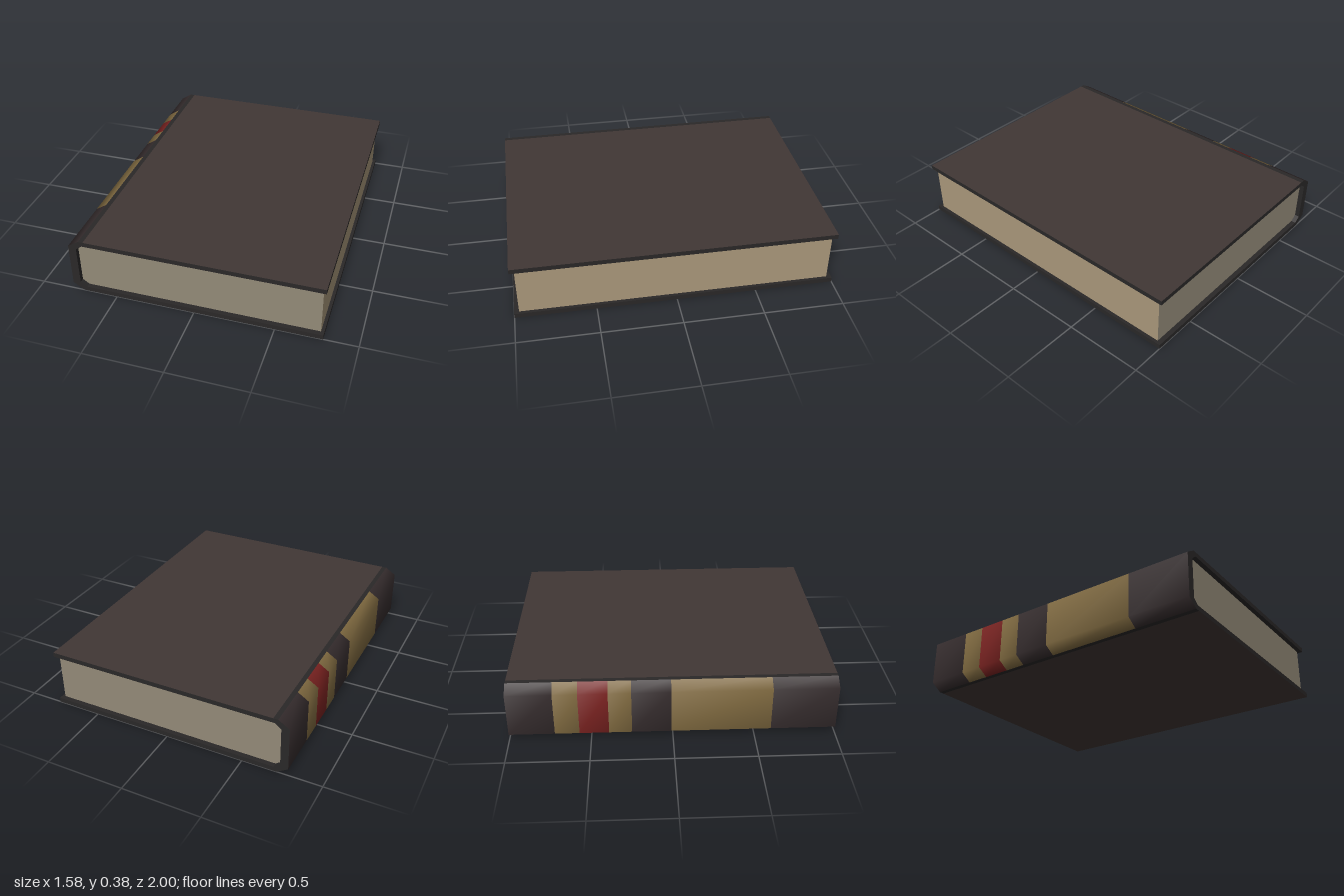
import * as THREE from 'three';

const mat = (color) => new THREE.MeshStandardMaterial({ color });

// Closed cover section, counter-clockwise seen from the front
const H = 0.375;
const OUTER_TOP = [[0.79, H], [-0.69, H]];
const HINGE_TOP = [[-0.69, H], [-0.72, H]];
const SPINE = [[-0.72, H], [-0.79, 0.33], [-0.79, 0.045], [-0.72, 0]];
const HINGE_BOTTOM = [[-0.72, 0], [-0.69, 0]];
const OUTER_BOTTOM = [[-0.69, 0], [0.79, 0]];
const INNER = [[0.79, 0.03], [-0.7, 0.03], [-0.74, 0.06], [-0.74, 0.315], [-0.7, 0.345], [0.79, 0.345]];

const toShape = (pts) => new THREE.Shape(pts.map(([x, y]) => new THREE.Vector2(x, y)));

// Sweeps an open profile straight from z0 to z1
function strip(pts, z0, z1, smooth) {
  const pos = [], idx = [];
  pts.forEach(([x, y], i) => {
    pos.push(x, y, z0, x, y, z1);
    if (i) {
      const a = 2 * i - 2;
      idx.push(a, a + 2, a + 1, a + 1, a + 2, a + 3);
    }
  });
  let geo = new THREE.BufferGeometry();
  geo.setAttribute('position', new THREE.Float32BufferAttribute(pos, 3));
  geo.setIndex(idx);
  if (!smooth) geo = geo.toNonIndexed();
  geo.computeVertexNormals();
  return geo;
}

export function createModel() {
  const book = new THREE.Group();
  book.name = 'book';
  const cloth = mat(0x413735), edge = mat(0x2a2828), leather = mat(0x352c2d);
  const gold = mat(0x806a40), red = mat(0x7a2220);
  const pageEnds = mat(0x938a78), foreEdge = mat(0xab997c);

  const add = (name, geo, material) => {
    const mesh = new THREE.Mesh(geo, material);
    mesh.name = name;
    book.add(mesh);
    return mesh;
  };

  // Cover boards, hinges and lining
  add('topCover', strip(OUTER_TOP, -1, 1), cloth);
  add('bottomCover', strip(OUTER_BOTTOM, -1, 1), cloth);
  add('topHinge', strip(HINGE_TOP, -1, 1), edge);
  add('bottomHinge', strip(HINGE_BOTTOM, -1, 1), edge);
  add('coverLining', strip(INNER, -1, 1), edge);
  add('bottomBoardEdge', strip([[0.79, 0], [0.79, 0.03]], -1, 1), edge);
  add('topBoardEdge', strip([[0.79, 0.345], [0.79, H]], -1, 1), edge);

  // Cut edges of the cover at head and tail
  const section = [...OUTER_TOP, ...SPINE, [-0.69, 0], [0.79, 0], ...INNER];
  const frontCap = new THREE.ShapeGeometry(toShape(section));
  add('frontCoverEdge', frontCap.clone().translate(0, 0, 1), edge);
  // Turned half round about x, the symmetric section faces the back
  add('backCoverEdge', frontCap.clone().rotateX(Math.PI).translate(0, H, -1), edge);

  // Spine split into coloured bands, softly shaded round the bevels
  const bands = [
    [-1, -0.72, leather], [-0.72, -0.57, gold], [-0.57, -0.39, red], [-0.39, -0.25, gold],
    [-0.25, -0.01, leather], [-0.01, 0.6, gold], [0.6, 1, leather],
  ];
  bands.forEach(([z0, z1, m], i) => add('spineBand' + (i + 1), strip(SPINE, z0, z1, true), m));

  // Page block, filling the cover and set back at its three open sides
  const block = INNER.map(([x, y]) => [Math.min(x, 0.77), y]).reverse();
  const pages = new THREE.ExtrudeGeometry(toShape(block), { depth: 1.94, bevelEnabled: false });
  add('pages', pages.translate(0, 0, -0.97), [pageEnds, foreEdge]);

  return book;
}
